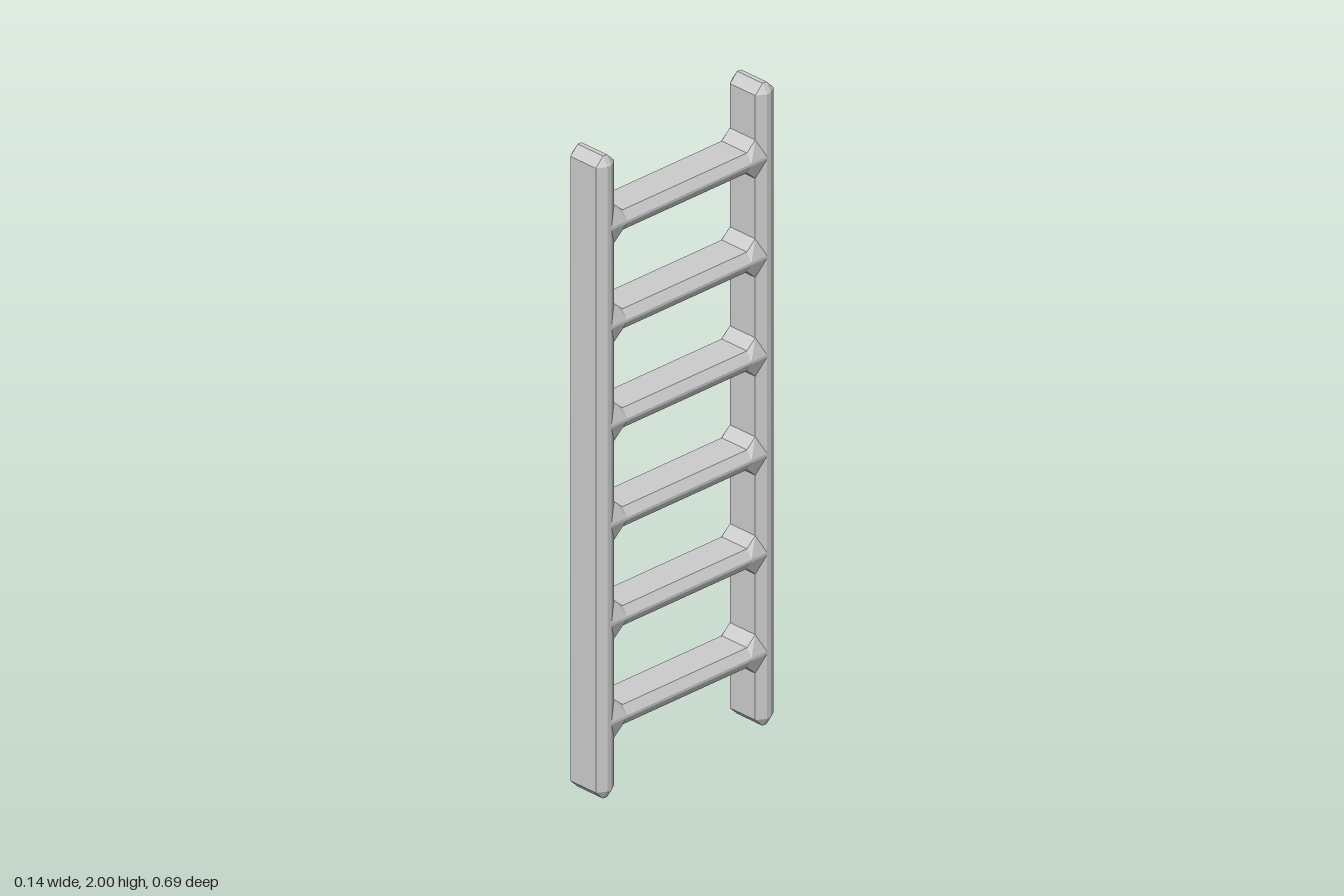
import * as THREE from 'three';
import { ConvexGeometry } from 'three/addons/geometries/ConvexGeometry.js';

const material = new THREE.MeshStandardMaterial({ color: 0xcccccc, flatShading: true });

const HX = 0.068;   // half width of rails and rungs
const FX = 0.05;    // half width of the flat inside the bevels
const V = (x, y, z) => new THREE.Vector3(x, y, z);

function part(name, points) {
  const mesh = new THREE.Mesh(new ConvexGeometry(points), material);
  mesh.name = name;
  return mesh;
}

// Box with every edge bevelled: (hx, hy, hz) half sizes, (fx, fy, fz) half sizes of the flats
function bevelledBox(hx, hy, hz, fx, fy, fz) {
  const points = [];
  for (const x of [-1, 1]) for (const y of [-1, 1]) for (const z of [-1, 1]) {
    points.push(V(x * hx, y * fy, z * fz), V(x * fx, y * hy, z * fz), V(x * fx, y * fy, z * hz));
  }
  return points;
}

export function createModel() {
  const ladder = new THREE.Group();
  ladder.name = 'ladder';

  // Upright rails
  for (const side of [1, -1]) {
    const rail = part(side > 0 ? 'frontRail' : 'backRail',
      bevelledBox(HX, 1, 0.0355, FX, 0.972, 0.0075));
    rail.position.set(0, 1, side * 0.3075);
    ladder.add(rail);
  }

  // Rungs with flared gussets where they meet the rails
  for (let i = 0; i < 6; i++) {
    const rung = new THREE.Group();
    rung.name = `rung${i + 1}`;
    rung.position.y = 0.234 + i * 0.308;

    const bar = [];
    for (const x of [-1, 1]) for (const y of [-1, 1]) for (const z of [-0.24, 0.24]) {
      bar.push(V(x * FX, y * 0.031, z), V(x * HX, y * 0.004, z));
    }
    rung.add(part('rungBar', bar));

    for (const side of [1, -1]) {
      const flare = [];
      for (const x of [-1, 1]) for (const y of [-1, 1]) {
        flare.push(
          V(x * FX, y * 0.031, side * 0.24),
          V(x * HX, y * 0.004, side * 0.24),
          V(x * FX, y * 0.06, side * 0.272),
          V(x * HX, y * 0.004, side * 0.3));
      }
      rung.add(part(side > 0 ? 'frontGusset' : 'backGusset', flare));
    }
    ladder.add(rung);
  }
  return ladder;
}
